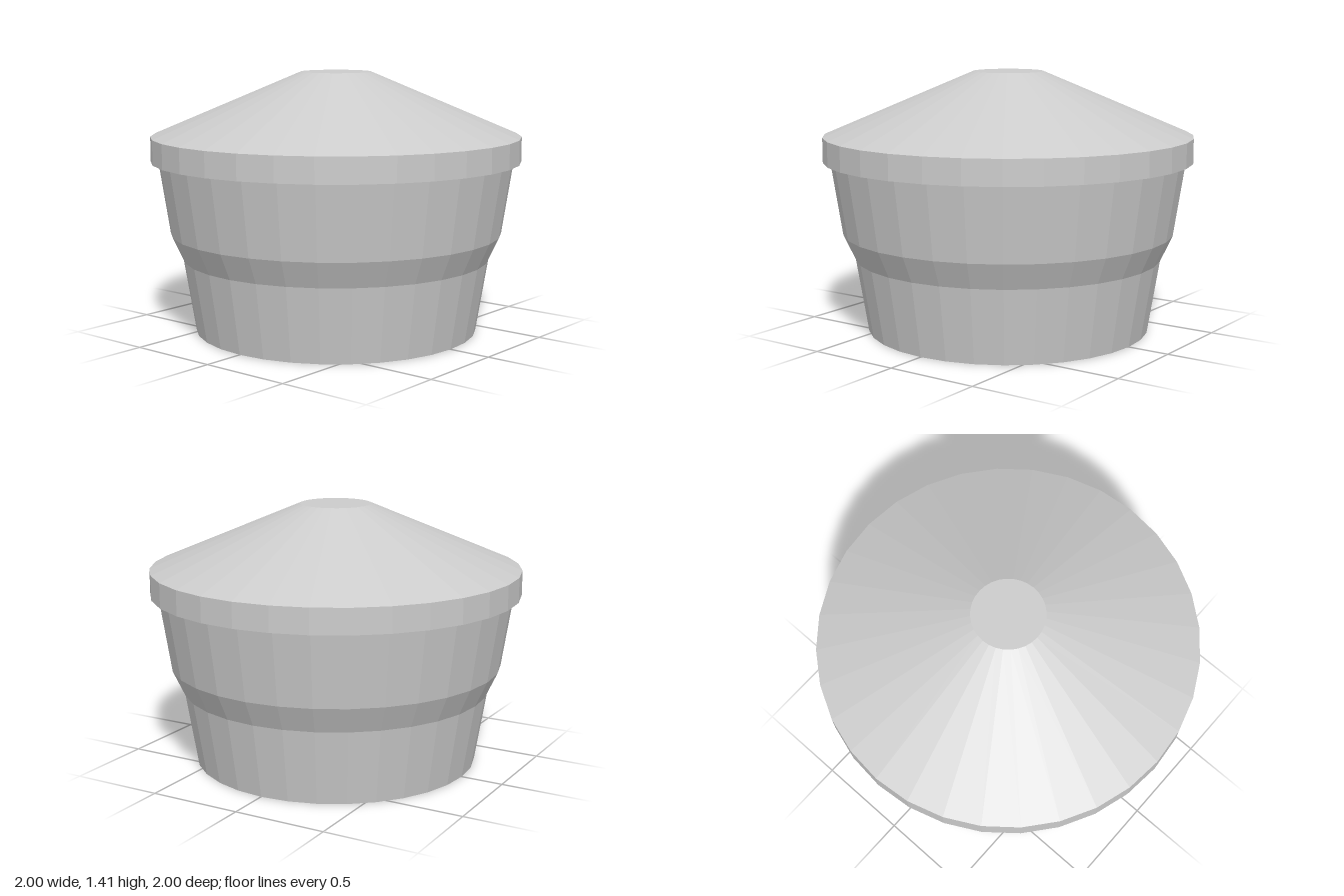
import * as THREE from 'three';

const SIDES = 32;

// Faceted solid of revolution; profile runs from the bottom axis to the top axis
function turned(name, profile) {
  const geometry = new THREE.LatheGeometry(profile.map(([r, y]) => new THREE.Vector2(r, y)), SIDES);
  const material = new THREE.MeshStandardMaterial({ color: 0xcccccc, flatShading: true });
  const mesh = new THREE.Mesh(geometry, material);
  mesh.name = name;
  return mesh;
}

export function createModel() {
  const model = new THREE.Group();
  model.name = 'liddedCup';

  // Tapered cup with a stepped shoulder, closed at the base
  model.add(turned('cup', [[0, 0], [0.77, 0], [0.835, 0.4], [0.9, 0.54], [0.96, 0.932]]));

  // Overhanging lid: straight rim, sloped cone and small flat top
  model.add(turned('lid', [[0, 0.932], [1, 0.932], [1, 1.065], [0.19, 1.408], [0, 1.408]]));

  return model;
}
